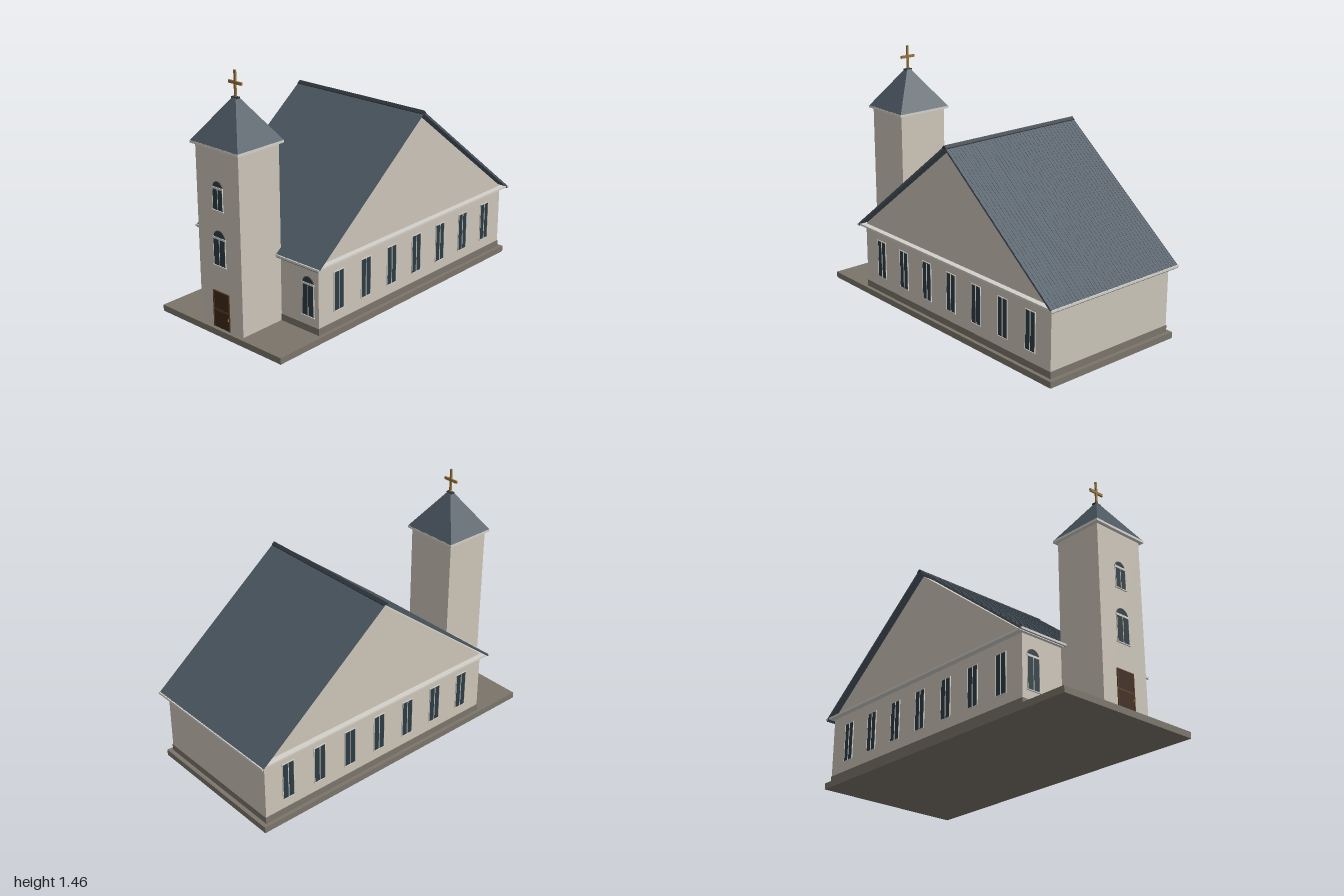
import * as THREE from 'three';

const mat = (color) => new THREE.MeshStandardMaterial({ color, flatShading: true });
const WALL = mat(0xcbc4b8), STONE = mat(0x7a746a), ROOF = mat(0x4b5761), RIDGE = mat(0x2f373d);
const TRIM = mat(0xd3d0c9), GLASS = mat(0x2c3b42), WOOD = mat(0x3d281b), FRAME = mat(0x5a3a20), GOLD = mat(0x94733a);

function add(parent, name, geometry, material) {
  const mesh = new THREE.Mesh(geometry, material);
  mesh.name = name;
  parent.add(mesh);
  return mesh;
}

// Box given by its limits on each axis
function box(parent, name, material, [x0, x1], [y0, y1], [z0, z1]) {
  const mesh = add(parent, name, new THREE.BoxGeometry(x1 - x0, y1 - y0, z1 - z0), material);
  mesh.position.set((x0 + x1) / 2, (y0 + y1) / 2, (z0 + z1) / 2);
  return mesh;
}

// Profile of [z, y] points, extruded across x from -half to half
function acrossX(points, half) {
  const shape = new THREE.Shape(points.map(([z, y]) => new THREE.Vector2(z, y)));
  const geometry = new THREE.ExtrudeGeometry(shape, { depth: half * 2, bevelEnabled: false });
  return geometry.translate(0, 0, -half).rotateY(-Math.PI / 2);
}

// Arched window facing +z, standing on its sill at y = 0
function archedWindow(name, w, h) {
  const g = new THREE.Group();
  g.name = name;
  box(g, 'pane', GLASS, [-w, w], [0, h], [-0.004, 0.003]);
  const arch = (r, depth) => {
    const s = new THREE.Shape();
    s.absarc(0, 0, r, 0, Math.PI, false);
    s.closePath();
    return new THREE.ExtrudeGeometry(s, { depth, bevelEnabled: false, curveSegments: 14 });
  };
  add(g, 'archPane', arch(w - 0.002, 0.006), GLASS).position.set(0, h + 0.005, -0.003);
  add(g, 'archSurround', arch(w + 0.002, 0.004), STONE).position.set(0, h + 0.005, -0.003);
  box(g, 'transom', TRIM, [-w - 0.004, w + 0.004], [h, h + 0.012], [-0.002, 0.006]);
  box(g, 'mullion', TRIM, [-0.0015, 0.0015], [0, h], [0, 0.005]);
  box(g, 'sill', TRIM, [-w - 0.006, w + 0.006], [-0.005, 0], [-0.002, 0.008]);
  for (const s of [-1, 1]) box(g, 'jamb', TRIM, [s * w - 0.0015, s * w + 0.0015], [0, h], [-0.002, 0.005]);
  return g;
}

// Rectangular window facing +z
function plainWindow(w, h) {
  const g = new THREE.Group();
  g.name = 'sideWindow';
  box(g, 'pane', GLASS, [-w, w], [0, h], [-0.004, 0.002]);
  for (const x of [-w, 0, w]) box(g, 'upright', TRIM, [x - 0.002, x + 0.002], [0, h], [-0.002, 0.005]);
  for (const y of [0, h]) box(g, 'rail', TRIM, [-w - 0.002, w + 0.002], [y - 0.002, y + 0.002], [-0.002, 0.005]);
  return g;
}

export function createModel() {
  const model = new THREE.Group();
  model.name = 'church';
  const ridgeZ = -0.136, backZ = -0.957, frontZ = 0.685;

  // Ground slab, hall with gables, plinth
  box(model, 'baseSlab', STONE, [-0.468, 0.468], [0, 0.037], [-0.985, 1]);
  add(model, 'hall', acrossX([[backZ, 0.037], [frontZ, 0.037], [frontZ, 0.445], [ridgeZ, 1.087], [backZ, 0.445]], 0.443), WALL);
  box(model, 'plinth', STONE, [-0.446, 0.446], [0.037, 0.077], [backZ - 0.003, frontZ + 0.003]);
  box(model, 'eavesLedge', TRIM, [-0.478, 0.478], [0.434, 0.445], [-0.975, 0.703]);

  // Two thin roof slopes with seams, eaves trim and a ridge cap
  const roof = new THREE.Group();
  roof.name = 'hallRoof';
  model.add(roof);
  const run = 0.858, eaveY = 0.44, ridgeY = 1.115, t = 0.014;
  const slope = (s, lo, hi) => {
    const p = [[ridgeZ + s * run, eaveY + lo], [ridgeZ + s * run, eaveY + hi], [ridgeZ, ridgeY + hi], [ridgeZ, ridgeY + lo]];
    return s < 0 ? p.reverse() : p;
  };
  for (const s of [-1, 1]) {
    add(roof, 'slope', acrossX(slope(s, -t, 0), 0.478), ROOF);
    const seam = acrossX(slope(s, -0.002, 0.002), 0.0015);
    for (let i = 0; i <= 40; i++) add(roof, 'seam', seam, ROOF).position.x = -0.476 + i * 0.0238;
    const z = ridgeZ + s * run;
    box(roof, 'eavesTrim', TRIM, [-0.482, 0.482], [0.431, 0.443], [z - 0.004, z + 0.004]);
  }
  const cap = [[-0.017, 1.1], [0.017, 1.1], [0.017, 1.107], [0, 1.121], [-0.017, 1.107]];
  add(roof, 'ridgeCap', acrossX(cap.map(([z, y]) => [z + ridgeZ, y]), 0.479), RIDGE);

  // Seven windows along each side
  for (const s of [-1, 1]) {
    for (let i = -3; i <= 3; i++) {
      const w = plainWindow(0.039, 0.232);
      w.position.set(s * 0.443, 0.138, ridgeZ + i * 0.221);
      w.rotation.y = s * Math.PI / 2;
      model.add(w);
    }
    const front = archedWindow('frontWindow', 0.042, 0.182);
    front.position.set(s * 0.367, 0.132, frontZ);
    model.add(front);
  }

  // Bell tower with cornice and hipped cap
  const tower = new THREE.Group();
  tower.name = 'tower';
  tower.position.z = 0.829;
  model.add(tower);
  box(tower, 'shaft', WALL, [-0.163, 0.163], [0.037, 1.067], [-0.146, 0.146]);
  box(tower, 'cornice', TRIM, [-0.183, 0.183], [1.065, 1.079], [-0.166, 0.166]);
  const pyramid = new THREE.CylinderGeometry(0.014 * Math.SQRT2, 0.181 * Math.SQRT2, 0.231, 4);
  pyramid.rotateY(Math.PI / 4).scale(1, 1, 0.91);
  add(tower, 'towerRoof', pyramid, ROOF).position.y = 1.1945;
  box(tower, 'finialBase', RIDGE, [-0.022, 0.022], [1.306, 1.314], [-0.012, 0.012]);
  box(tower, 'crossPost', GOLD, [-0.006, 0.006], [1.31, 1.457], [-0.005, 0.005]);
  box(tower, 'crossArm', GOLD, [-0.049, 0.049], [1.381, 1.397], [-0.005, 0.005]);
  for (const [y, w, h] of [[0.41, 0.045, 0.15], [0.727, 0.038, 0.117]]) {
    const win = archedWindow('towerWindow', w, h);
    win.position.set(0, y, 0.146);
    tower.add(win);
  }

  // Double door with frame, panels and handle
  const door = new THREE.Group();
  door.name = 'door';
  door.position.set(0, 0.037, 0.146);
  tower.add(door);
  box(door, 'doorLeaf', WOOD, [-0.06, 0.06], [0, 0.215], [-0.004, 0.003]);
  for (const s of [-1, 1]) box(door, 'doorJamb', FRAME, [s * 0.06 - 0.003, s * 0.06 + 0.003], [0, 0.218], [-0.002, 0.006]);
  box(door, 'doorHead', FRAME, [-0.063, 0.063], [0.212, 0.218], [-0.002, 0.006]);
  box(door, 'doorRail', FRAME, [-0.057, 0.057], [0.1, 0.112], [0, 0.004]);
  box(door, 'handle', GOLD, [0.05, 0.054], [0.06, 0.075], [0, 0.008]);

  return model;
}
